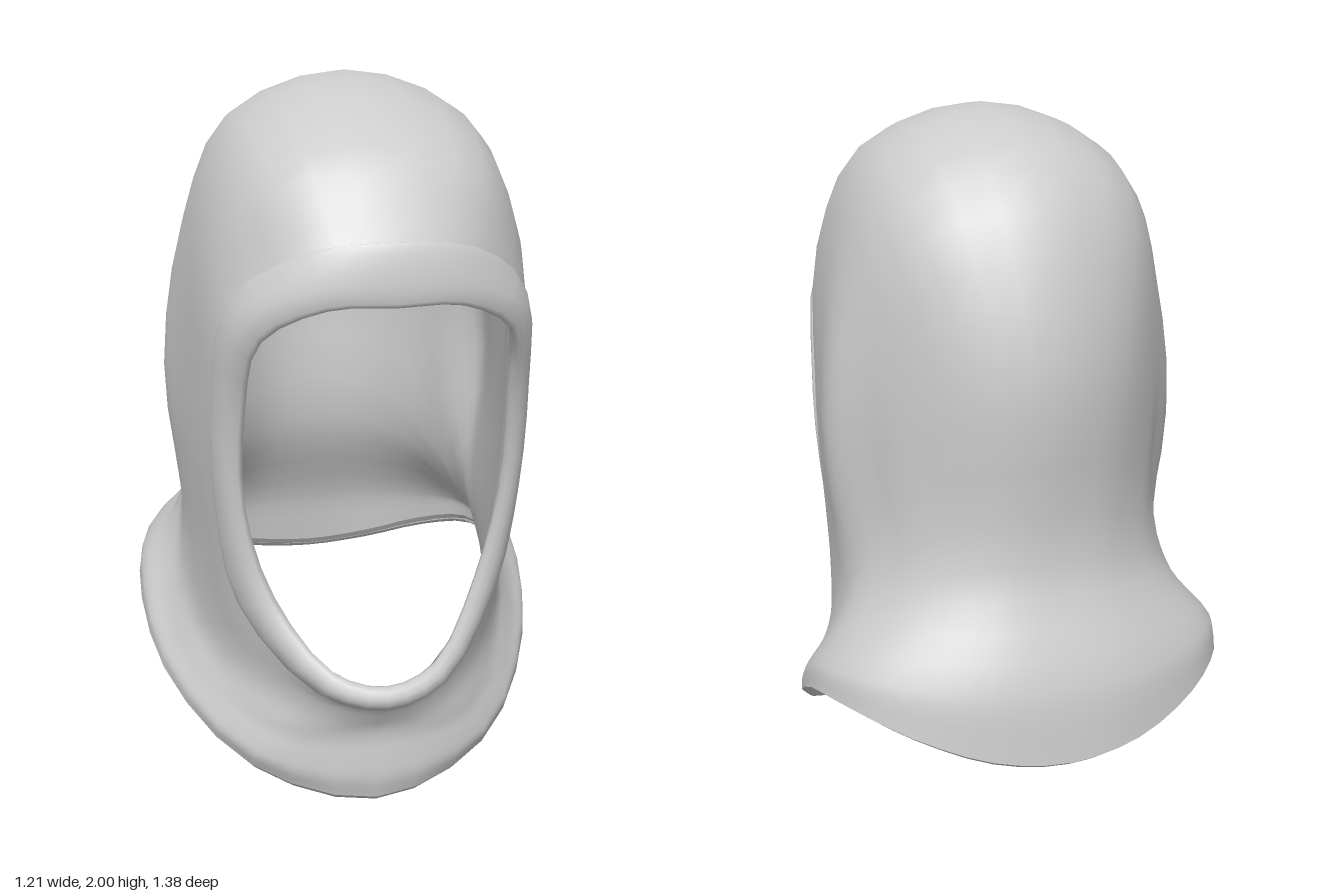
import * as THREE from 'three';

// Half loops run from the front centre, up the left side, to the top or back centre.
const rimLoops = [
  [[0, .43, .62], [.14, .47, .585], [.28, .65, .465], [.35, .9, .44], [.35, 1.2, .49], [.32, 1.39, .585], [.17, 1.48, .665], [0, 1.485, .685]],
  [[0, .385, .64], [.16, .425, .6], [.33, .62, .455], [.395, .9, .435], [.4, 1.2, .475], [.36, 1.44, .57], [.19, 1.53, .665], [0, 1.54, .69]],
  [[0, .345, .585], [.18, .39, .54], [.37, .6, .38], [.425, .9, .375], [.43, 1.2, .405], [.39, 1.47, .475], [.21, 1.615, .625], [0, 1.64, .665]],
];

const hoodLoops = [
  [[0, .32, .55], [.2, .36, .49], [.38, .52, .32], [.44, .85, .26], [.45, 1.2, .27], [.415, 1.57, .34], [.27, 1.79, .46], [0, 1.85, .5]],
  [[0, .28, .525], [.23, .31, .46], [.42, .47, .22], [.465, .8, .08], [.485, 1.2, .06], [.43, 1.66, .06], [.31, 1.89, .05], [0, 2, .05]],
  [[0, .24, .505], [.27, .26, .44], [.465, .43, .12], [.475, .75, -.08], [.51, 1.15, -.14], [.445, 1.51, -.18], [.305, 1.78, -.29], [0, 1.86, -.36]],
  [[0, .2, .5], [.29, .22, .43], [.5, .4, .08], [.475, .69, -.16], [.41, .98, -.26], [.37, 1.25, -.34], [.215, 1.38, -.49], [0, 1.4, -.555]],
];

const capeLoops = [
  [[0, .15, .505], [.32, .18, .42], [.53, .36, .06], [.52, .6, -.2], [.405, .74, -.345], [.3, .81, -.44], [.16, .84, -.52], [0, .85, -.54]],
  [[0, .08, .51], [.34, .14, .41], [.56, .31, .06], [.595, .5, -.22], [.535, .555, -.43], [.41, .555, -.55], [.21, .545, -.64], [0, .54, -.66]],
  [[0, .02, .5], [.34, .095, .385], [.56, .265, .07], [.605, .445, -.25], [.545, .47, -.445], [.41, .425, -.58], [.21, .36, -.665], [0, .335, -.69]],
];

// Scale a loop about a centre height and shift it
const adjust = (loop, sx, sy, cy, dy, dz, sz = 1) =>
  loop.map(([x, y, z]) => [x * sx, (y - cy) * sy + cy + dy, z * sz + dz]);

// Mirror a half loop into a closed smooth curve and sample it
function sampleLoop(half, count) {
  const left = half.map(p => new THREE.Vector3(...p));
  const right = half.slice(1, -1).reverse().map(([x, y, z]) => new THREE.Vector3(-x, y, z));
  const curve = new THREE.CatmullRomCurve3([...left, ...right], true);
  return Array.from({ length: count }, (_, i) => curve.getPoint(i / count));
}

// Smooth skin through a series of loops
function loft(halfLoops, steps) {
  const count = 42;
  const loops = halfLoops.map(h => sampleLoop(h, count));
  const rows = (loops.length - 1) * steps;
  const positions = [], index = [];
  const columns = Array.from({ length: count }, (_, i) =>
    new THREE.CatmullRomCurve3(loops.map(l => l[i])));
  for (let r = 0; r <= rows; r++) {
    for (let i = 0; i < count; i++) {
      positions.push(...columns[i].getPoint(r / rows).toArray());
      if (r === rows) continue;
      const a = r * count + i, b = r * count + (i + 1) % count;
      index.push(a, a + count, b, b, a + count, b + count);
    }
  }
  const geometry = new THREE.BufferGeometry();
  geometry.setAttribute('position', new THREE.Float32BufferAttribute(positions, 3));
  geometry.setIndex(index);
  geometry.computeVertexNormals();
  return geometry;
}

// Inward-facing copy of a skin, set in by the cloth thickness
function liningOf(skin, thickness) {
  const geometry = skin.clone();
  const position = geometry.attributes.position, normal = geometry.attributes.normal;
  for (let i = 0; i < position.count; i++) {
    position.setXYZ(i,
      position.getX(i) - normal.getX(i) * thickness,
      position.getY(i) - normal.getY(i) * thickness,
      position.getZ(i) - normal.getZ(i) * thickness);
  }
  geometry.setIndex(Array.from(skin.index.array).reverse());
  geometry.computeVertexNormals();
  return geometry;
}

export function createModel() {
  const cloth = new THREE.MeshStandardMaterial({ color: 0xcccccc, side: THREE.DoubleSide });
  cloth.name = 'greyCloth';
  const group = new THREE.Group();
  group.name = 'hood';
  const add = (name, geometry) => {
    const mesh = new THREE.Mesh(geometry, cloth);
    mesh.name = name;
    group.add(mesh);
  };

  // Raised band round the face opening, its inner edge meeting the lining
  const inner = adjust(rimLoops[2], .89, .935, .95, 0, -.035);
  const seam = adjust(rimLoops[2], .985, .995, 1, 0, -.01);
  add('faceOpeningBand', loft([inner, ...rimLoops, seam], 3));

  // Crown, sides, neck and flared cape in one skin, with a lining
  const skin = loft([seam, ...hoodLoops, ...capeLoops], 4);
  add('hoodAndCape', skin);
  add('lining', liningOf(skin, .05));

  // Rounded hem between the cape and the lining
  const hem = capeLoops[2];
  add('hem', loft([
    hem,
    adjust(hem, .96, 1, 0, -.02, 0, .95),
    adjust(hem, .915, 1, 0, .015, 0, .91),
  ], 3));
  return group;
}
